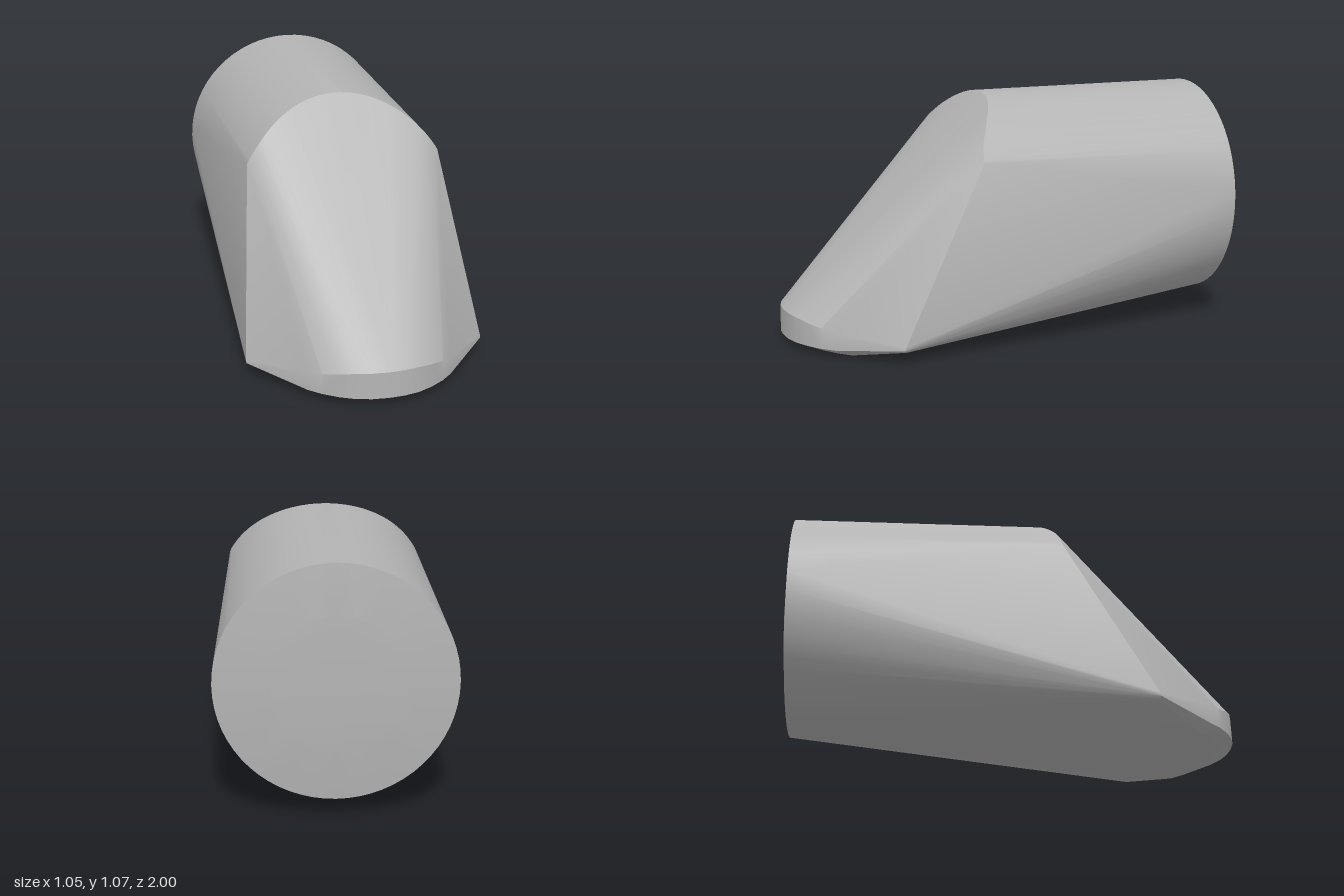
import * as THREE from 'three';
import { ConvexGeometry } from 'three/addons/geometries/ConvexGeometry.js';
import { toCreasedNormals } from 'three/addons/utils/BufferGeometryUtils.js';

const CENTRE_Y = 0.57;
const RADIUS = 0.495;

export function createModel() {
  const grey = new THREE.MeshStandardMaterial({ color: 0xb4b4b4 });
  grey.name = 'grey';

  const points = [];
  const add = (x, y, z) => points.push(new THREE.Vector3(x, y, z));
  const addPair = (x, y, z) => {
    add(x, y, z);
    if (x > 0) add(-x, y, z);
  };

  // Round rear rim and the slightly raised disc behind it
  const ring = (radius, z, sides) => {
    for (let i = 0; i < sides; i++) {
      const a = (i / sides) * Math.PI * 2;
      add(Math.sin(a) * radius, CENTRE_Y + Math.cos(a) * radius, z);
    }
  };
  ring(RADIUS, -0.98, 64);
  ring(0.29, -1, 24);

  // Curved upper edge of the slanted face, lying on the cylinder
  const brow = new THREE.SplineCurve([
    [0, 0.065], [0.1, 0.075], [0.2, 0.103], [0.3, 0.15], [0.38, 0.195], [0.43, 0.21],
  ].map(([x, z]) => new THREE.Vector2(x, z)));
  for (const { x, y: z } of brow.getPoints(20)) {
    addPair(x, CENTRE_Y + Math.sqrt(RADIUS ** 2 - x ** 2), z);
  }

  // Rounded nose: upper lip, lower lip and sole edge
  const nose = [
    // x, z, upper y
    [0, 0.995, 0.145], [0.07, 0.99, 0.145], [0.135, 0.973, 0.143],
    [0.2, 0.94, 0.132], [0.26, 0.897, 0.12], [0.31, 0.848, 0.105],
  ];
  for (const [x, z, top] of nose) {
    addPair(x, top, z - 0.003);
    addPair(x, 0.03, z);
    addPair(x, 0, z - 0.075);
  }

  // Side corners and the rear end of the flat sole
  addPair(0.523, 0.075, 0.6);
  addPair(0.522, 0.06, 0.605);
  addPair(0.51, 0.05, 0.595);
  addPair(0.31, 0, 0.6);
  addPair(0.2, 0, 0.36);
  addPair(0, 0, 0.28);

  const body = new THREE.Mesh(
    toCreasedNormals(new ConvexGeometry(points), THREE.MathUtils.degToRad(28)), grey);
  body.name = 'body';

  const model = new THREE.Group();
  model.name = 'slantedCylinder';
  model.add(body);
  return model;
}
